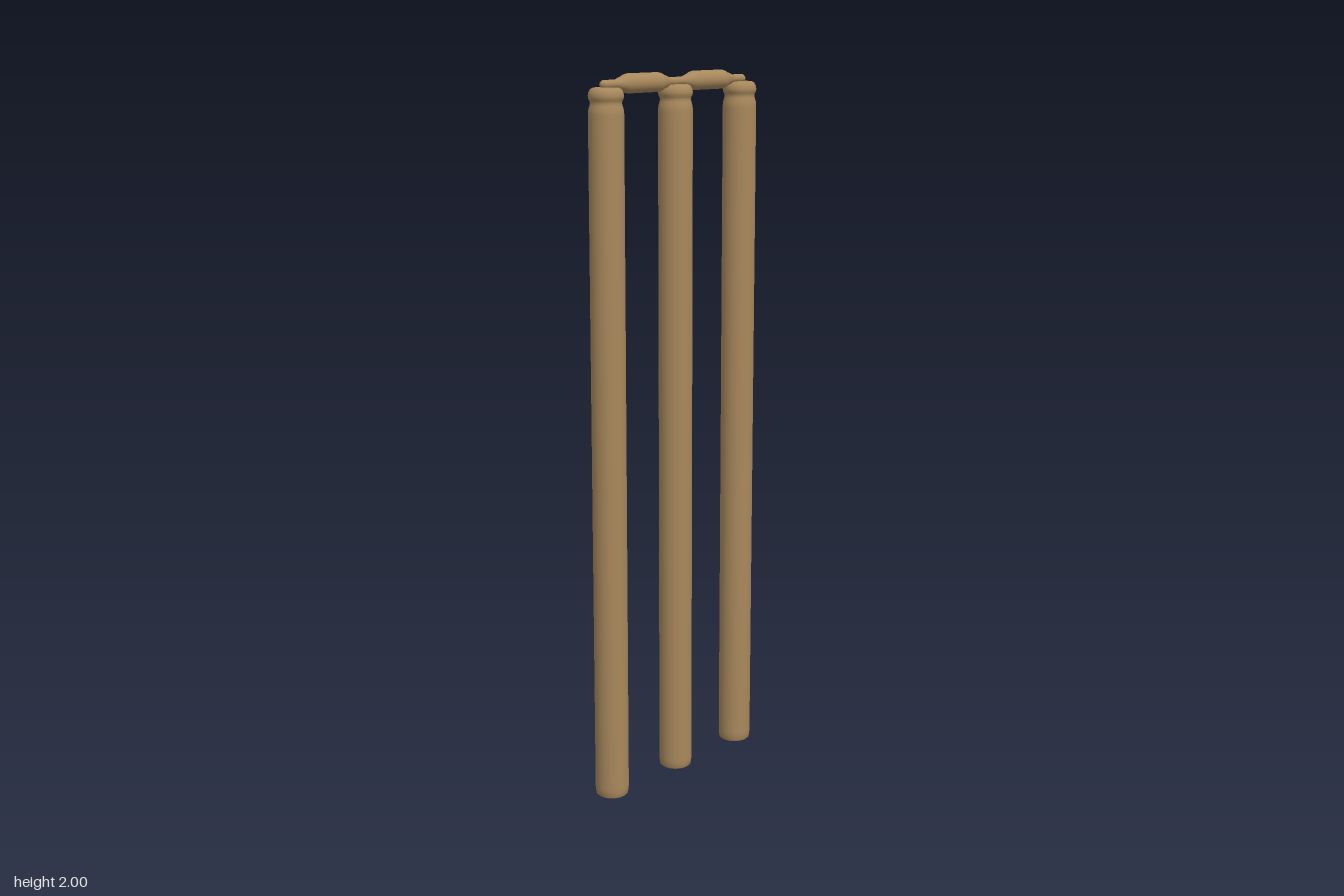
import * as THREE from 'three';

const wood = new THREE.MeshStandardMaterial({ color: 0xa8885c });

// Lathe from [radius, height] pairs
function turned(name, points) {
  const profile = points.map(([r, h]) => new THREE.Vector2(r, h));
  const mesh = new THREE.Mesh(new THREE.LatheGeometry(profile, 40), wood);
  mesh.name = name;
  return mesh;
}

// Upright post: bevelled foot, straight shaft, groove and rounded head
function makeStump(x) {
  const stump = turned('stump', [
    [0, 0], [0.041, 0], [0.041, 0], [0.045, 0.004], [0.047, 0.02], [0.047, 0.03],
    [0.047, 1.89], [0.047, 1.9], [0.046, 1.91], [0.043, 1.92], [0.0415, 1.927],
    [0.043, 1.933], [0.046, 1.938], [0.047, 1.945], [0.0455, 1.954],
    [0.041, 1.962], [0.034, 1.966], [0, 1.967],
  ]);
  stump.position.x = x;
  return stump;
}

// Crosspiece: thin spigots either side of a thicker barrel
function makeBail(side) {
  const spigot = 0.0115, barrel = 0.026;
  const points = [[0, -0.009], [spigot, -0.009], [spigot, -0.009], [spigot, 0.026]];
  const swell = [[0.08, 0.004], [0.3, 0.013], [0.6, 0.028], [0.85, 0.036], [1, 0.046]];
  const radius = (t) => spigot + (barrel - spigot) * t;
  for (const [t, d] of swell) points.push([radius(t), 0.026 + d]);
  for (const [t, d] of [...swell].reverse()) points.push([radius(t), 0.232 - d]);
  points.push([spigot, 0.232], [spigot, 0.276], [0.007, 0.284], [0, 0.285]);
  const bail = turned('bail', points);
  bail.rotation.z = -side * Math.PI / 2;
  bail.position.y = 1.974;
  return bail;
}

export function createModel() {
  const model = new THREE.Group();
  model.name = 'wicket';
  for (const x of [-0.267, 0, 0.267]) model.add(makeStump(x));
  for (const side of [-1, 1]) model.add(makeBail(side));
  return model;
}
